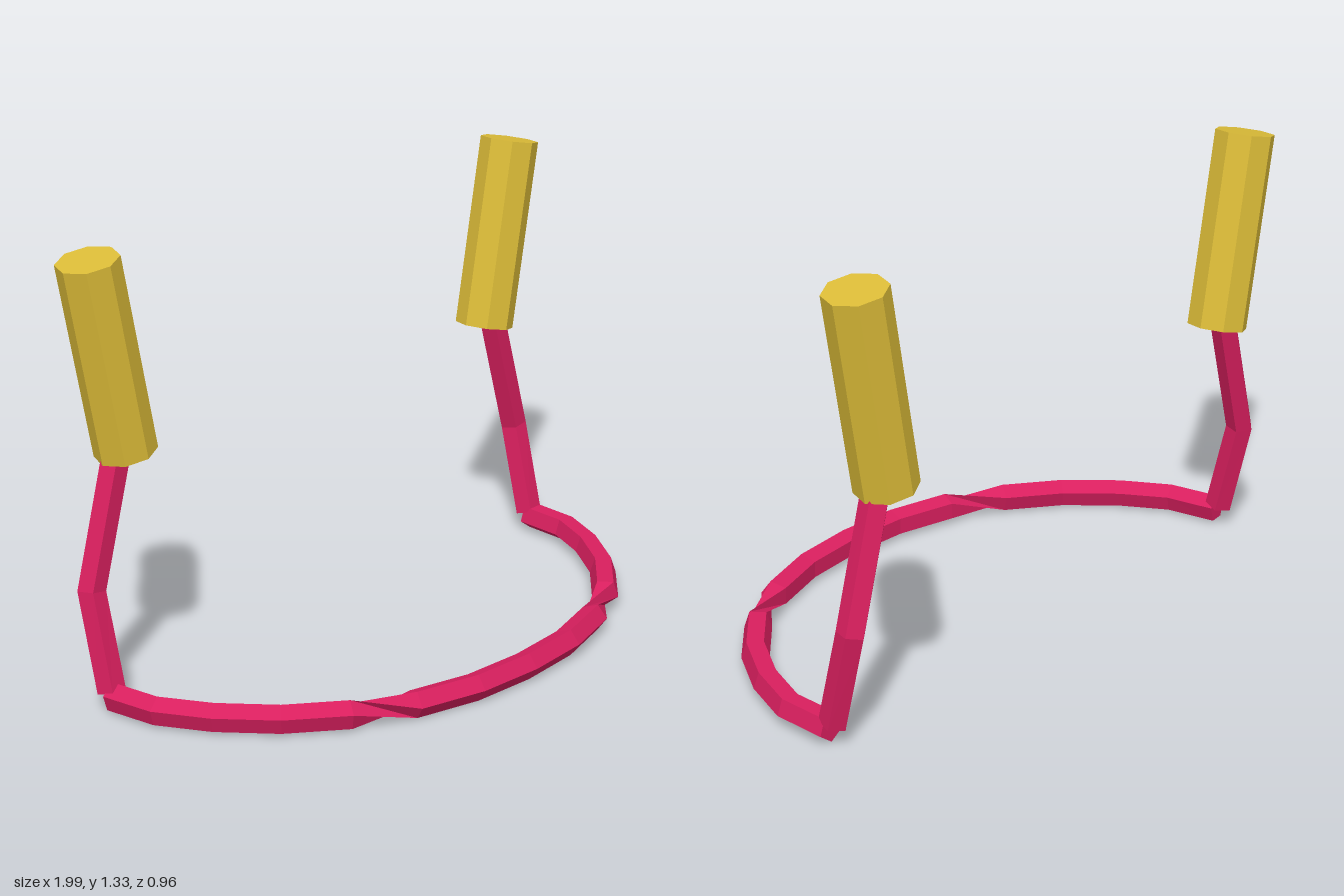
import * as THREE from 'three';

const pink = new THREE.MeshStandardMaterial({ color: 0xd81f5e, flatShading: true });
const gold = new THREE.MeshStandardMaterial({ color: 0xdcbc38, flatShading: true });

const SIDES = 5;
const RADIUS = 0.043;

// Sweeps a capped pentagon along points; twist(i) turns the ring from the ref direction.
function sweep(points, ref, twist = () => 0) {
  const pts = points.map((p) => new THREE.Vector3(...p));
  const last = pts.length - 1;
  const positions = [];
  const index = [];
  pts.forEach((p, i) => {
    const before = pts[Math.max(i - 1, 0)];
    const after = pts[Math.min(i + 1, last)];
    const t = after.clone().sub(before).normalize();
    const n = ref.clone().addScaledVector(t, -ref.dot(t)).normalize();
    const b = t.clone().cross(n);
    for (let j = 0; j < SIDES; j++) {
      const a = twist(i) + (j / SIDES) * Math.PI * 2;
      const v = p.clone()
        .addScaledVector(n, RADIUS * Math.cos(a))
        .addScaledVector(b, RADIUS * Math.sin(a));
      positions.push(v.x, v.y, v.z);
    }
  });
  for (let i = 0; i < last; i++) {
    for (let j = 0; j < SIDES; j++) {
      const k = (j + 1) % SIDES;
      const a = i * SIDES + j, b = i * SIDES + k;
      index.push(a, b, b + SIDES, a, b + SIDES, a + SIDES);
    }
  }
  // End caps
  const end = last * SIDES;
  for (let j = 1; j < SIDES - 1; j++) {
    index.push(0, j + 1, j, end, end + j, end + j + 1);
  }
  const indexed = new THREE.BufferGeometry();
  indexed.setAttribute('position', new THREE.Float32BufferAttribute(positions, 3));
  indexed.setIndex(index);
  const geometry = indexed.toNonIndexed();
  geometry.computeVertexNormals();
  return geometry;
}

function addMesh(group, name, geometry, material) {
  const mesh = new THREE.Mesh(geometry, material);
  mesh.name = name;
  group.add(mesh);
  return mesh;
}

export function createModel() {
  const model = new THREE.Group();
  model.name = 'curvedBarWithGrips';

  // Curved base bar: half of the arc, mirrored to the other side
  const half = [
    [0.21, 0.42], [0.41, 0.365], [0.585, 0.275], [0.735, 0.15],
    [0.85, 0], [0.925, -0.15], [0.942, -0.315],
  ];
  const arc = [
    ...half.slice().reverse().map(([x, z]) => [-x, 0.045, z]),
    [0, 0.045, 0.435],
    ...half.map(([x, z]) => [x, 0.045, z]),
  ];
  // The section makes a quarter turn on each side of the middle
  const quarterTurns = (i) => (i < 5 ? 0 : i < 10 ? 1 : 2) * Math.PI / 2;
  addMesh(model, 'baseBar', sweep(arc, new THREE.Vector3(0, 1, 0), quarterTurns), pink);

  for (const side of [1, -1]) {
    const label = side > 0 ? 'left' : 'right';

    // Bent upright
    const path = [
      [0.94 * side, 0.06, -0.322],
      [0.94 * side, 0.35, -0.39],
      [0.83 * side, 0.725, -0.39],
    ];
    addMesh(model, label + 'Upright', sweep(path, new THREE.Vector3(0, 0, -1)), pink);

    // Octagonal grip leaning outward
    const grip = addMesh(model, label + 'Grip', new THREE.CylinderGeometry(0.092, 0.092, 0.6, 8), gold);
    grip.position.set(0.847 * side, 1.02, -0.39);
    grip.rotation.z = -0.198 * side;
  }
  return model;
}
